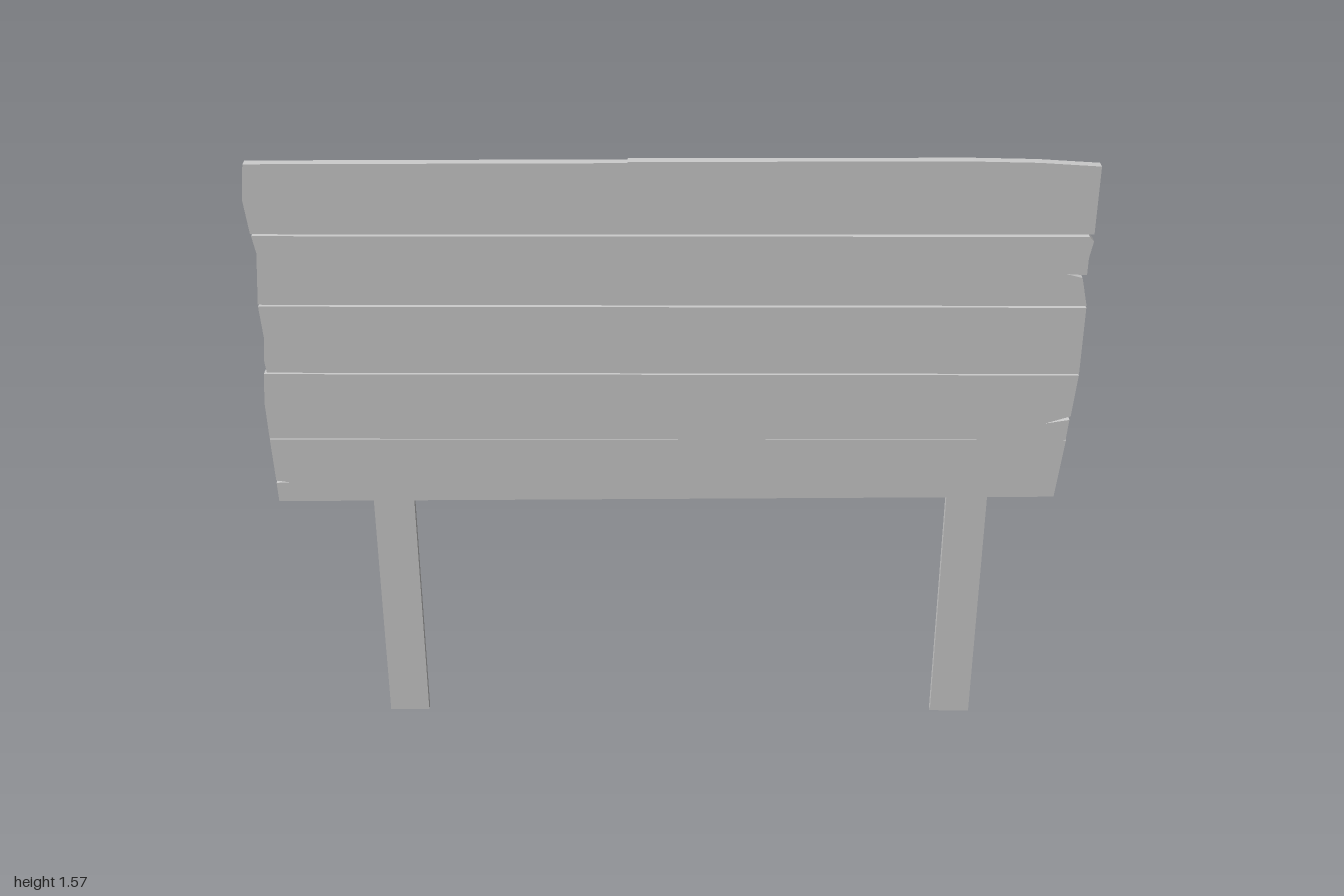
import * as THREE from 'three';

const material = new THREE.MeshStandardMaterial({ color: 0xcccccc, flatShading: true });
const FRONT = 0.02, BACK = -0.005, POST_BACK = -0.02;

// Outlines run counter-clockwise: up the right end, then down the left end.
const planks = {
  topPlank: [
    [0.995, 1.391], [0.995, 1.56], [0.85, 1.569], [0.7, 1.572],
    [-0.1, 1.57], [-0.1, 1.567], [-0.99, 1.563], [-1, 1.475], [-0.99, 1.389],
  ],
  upperPlank: [
    [0.995, 1.207], [0.98, 1.273], [0.978, 1.28], [0.94, 1.29], [0.988, 1.287],
    [0.988, 1.33], [0.996, 1.374], [0.985, 1.385],
    [-0.988, 1.384], [-0.98, 1.34], [-0.99, 1.207],
  ],
  middlePlank: [
    [0.995, 1.025], [0.995, 1.202], [-0.99, 1.202],
    [-0.984, 1.12], [-0.99, 1.06], [-0.986, 1.025],
  ],
  lowerPlank: [
    [0.98, 0.842], [0.984, 0.898], [0.925, 0.888], [0.986, 0.908], [0.995, 1.021],
    [-0.994, 1.021], [-1, 0.94], [-0.997, 0.842],
  ],
  bottomPlank: [
    [0.965, 0.679], [0.981, 0.841], [0.07, 0.841], [-0.997, 0.839],
    [-0.992, 0.722], [-0.96, 0.717], [-0.992, 0.715], [-0.99, 0.662],
  ],
};

// Cut a board with ragged, split ends from its outline.
function makePlank(name, outline) {
  const shape = new THREE.Shape(outline.map(([x, y]) => new THREE.Vector2(x, y)));
  const geometry = new THREE.ExtrudeGeometry(shape, { depth: FRONT - BACK, bevelEnabled: false });
  geometry.translate(0, 0, BACK);
  const mesh = new THREE.Mesh(geometry, material);
  mesh.name = name;
  return mesh;
}

// Flat upright fixed to the back of the boards.
function makePost(name, x) {
  const height = 1.325, depth = -POST_BACK - 0.001;
  const mesh = new THREE.Mesh(new THREE.BoxGeometry(0.103, height, depth), material);
  mesh.position.set(x, height / 2, POST_BACK + depth / 2);
  mesh.name = name;
  return mesh;
}

export function createModel() {
  const sign = new THREE.Group();
  sign.name = 'woodenSign';

  const board = new THREE.Group();
  board.name = 'board';
  for (const [name, outline] of Object.entries(planks)) board.add(makePlank(name, outline));

  sign.add(board, makePost('leftPost', 0.75), makePost('rightPost', -0.703));
  return sign;
}
